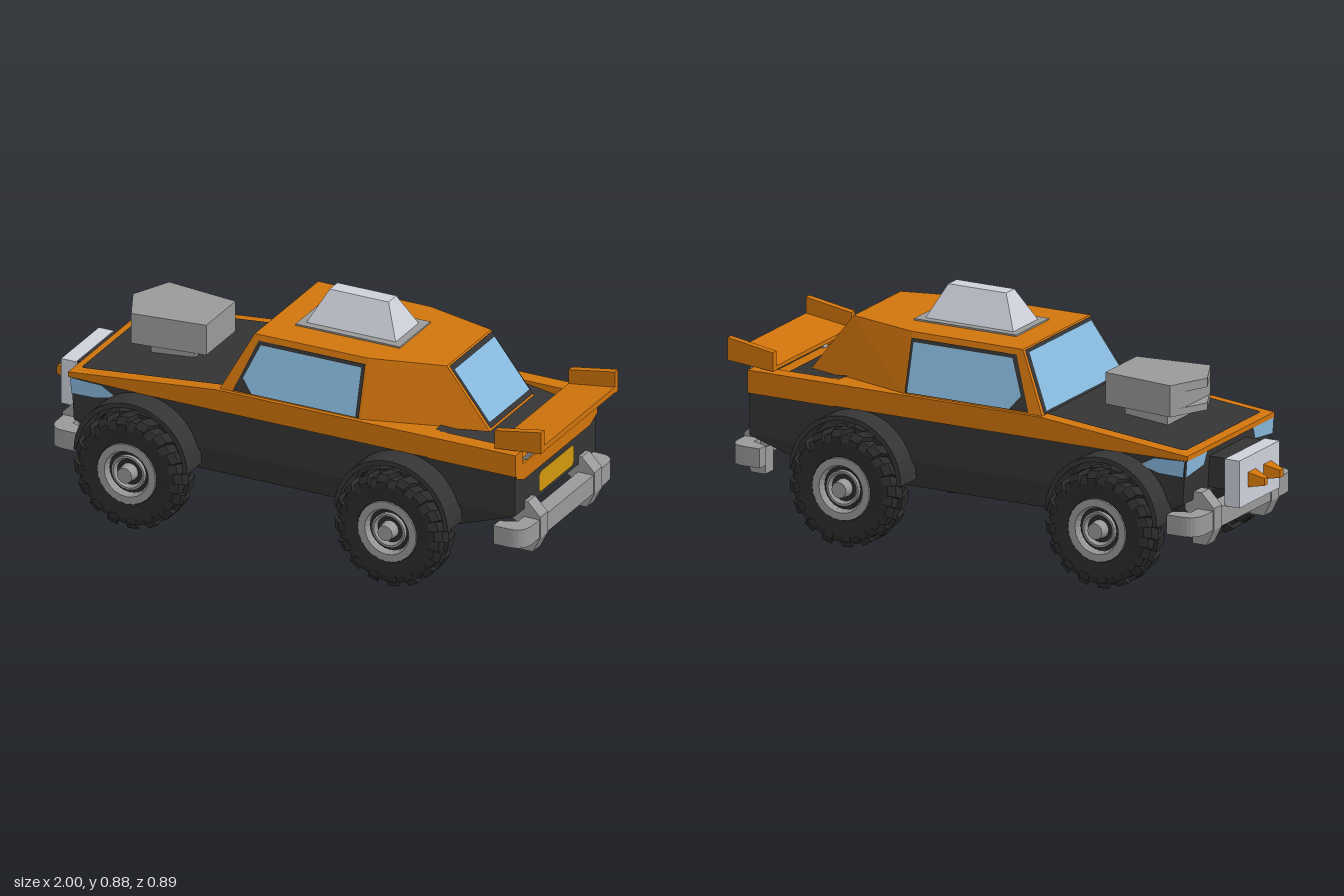
import * as THREE from 'three';
import { ConvexGeometry } from 'three/addons/geometries/ConvexGeometry.js';

const material = (name, color) => {
  const m = new THREE.MeshStandardMaterial({ color });
  m.name = name;
  return m;
};
const V = (x, y, z) => new THREE.Vector3(x, y, z);

export function createModel() {
  const orange = material('orange paint', 0xd0740c);
  const dark = material('dark cladding', 0x343434);
  const rubber = material('tyre rubber', 0x2b2b2b);
  const grey = material('grey metal', 0x999999);
  const silver = material('pale metal', 0xcdd0da);
  const glass = material('blue glass', 0x86b8dc);
  const yellow = material('yellow plate', 0xd0980e);

  const car = new THREE.Group();
  car.name = 'offRoadCar';

  const add = (name, mat, geo, parent = car) => {
    const mesh = new THREE.Mesh(geo, mat);
    mesh.name = name;
    parent.add(mesh);
    return mesh;
  };
  // Convex solid, mirrored across z
  const hull = (name, mat, pts, parent) => add(name, mat,
    new ConvexGeometry(pts.flatMap(([x, y, z]) => [V(x, y, z), V(x, y, -z)])), parent);
  // Side outline (x, y) extruded from z0 to z1
  const prism = (name, mat, pts, z0, z1, parent) => {
    const shape = new THREE.Shape(pts.map(([x, y]) => new THREE.Vector2(x, y)));
    const geo = new THREE.ExtrudeGeometry(shape, { depth: z1 - z0, bevelEnabled: false });
    return add(name, mat, geo.translate(0, 0, z0), parent);
  };
  // Plan outline (x, z) extruded from y0 to y1
  const slab = (name, mat, shape, y0, y1, parent) => {
    const geo = new THREE.ExtrudeGeometry(shape, { depth: y1 - y0, bevelEnabled: false, curveSegments: 6 });
    return add(name, mat, geo.rotateX(-Math.PI / 2).translate(0, y0, 0), parent);
  };
  const box = (name, mat, x0, x1, y0, y1, z0, z1) => add(name, mat,
    new THREE.BoxGeometry(x1 - x0, y1 - y0, z1 - z0)
      .translate((x0 + x1) / 2, (y0 + y1) / 2, (z0 + z1) / 2));
  // Flat convex face lifted slightly off the bodywork, facing outwards
  const panel = (name, mat, pts, lift = 0.004) => {
    let p = pts.map(a => V(...a));
    const n = p[1].clone().sub(p[0]).cross(p[2].clone().sub(p[0])).normalize();
    if (n.dot(p[0].clone().sub(V(0, 0.3, 0))) < 0) { n.negate(); p.reverse(); }
    p = p.map(a => a.addScaledVector(n, lift));
    const tris = [];
    for (let i = 1; i < p.length - 1; i++) tris.push(p[0], p[i], p[i + 1]);
    const geo = new THREE.BufferGeometry().setFromPoints(tris);
    geo.computeVertexNormals();
    return add(name, mat, geo);
  };

  // Lower body and upper belt
  hull('lowerBody', dark, [[-0.82, 0.472, 0.303], [0.905, 0.472, 0.303], [-0.81, 0.31, 0.303],
    [0.905, 0.31, 0.303], [-0.62, 0.203, 0.25], [0.65, 0.203, 0.25]]);
  hull('beltFront', orange, [[-0.83, 0.488, 0.308], [-0.25, 0.545, 0.308], [0.57, 0.545, 0.308],
    [-0.83, 0.47, 0.308], [-0.5, 0.465, 0.308], [0.57, 0.465, 0.308]]);
  hull('rearDeck', orange, [[0.57, 0.545, 0.25], [0.91, 0.49, 0.25], [0.57, 0.46, 0.25], [0.91, 0.46, 0.25]]);
  for (const s of [1, -1])
    box('rearRail', orange, 0.57, 0.91, 0.462, 0.545, Math.min(s * 0.25, s * 0.308), Math.max(s * 0.25, s * 0.308));
  panel('deckPanel', dark, [[0.57, 0.545, 0.25], [0.84, 0.5015, 0.25], [0.84, 0.5015, -0.25], [0.57, 0.545, -0.25]]);
  panel('rearPanel', orange, [[0.908, 0.43, 0.25], [0.908, 0.455, 0.305], [0.908, 0.488, 0.305],
    [0.908, 0.488, -0.305], [0.908, 0.455, -0.305], [0.908, 0.43, -0.25]]);
  const hoodY = x => 0.488 + (x + 0.83) / 0.58 * 0.057;
  panel('hoodPanel', dark, [[-0.8, hoodY(-0.8), 0.26], [-0.79, hoodY(-0.79), 0.27], [-0.25, 0.545, 0.27],
    [-0.25, 0.545, -0.27], [-0.79, hoodY(-0.79), -0.27], [-0.8, hoodY(-0.8), -0.26]]);

  // Cabin with tapering rear pillars
  hull('cabin', orange, [[-0.25, 0.54, 0.296], [0.3, 0.54, 0.292], [0.737, 0.54, 0.166],
    [-0.14, 0.755, 0.238], [0.3, 0.755, 0.235], [0.57, 0.755, 0.166]]);
  // Windscreen and rear window: frame, then glass, between a base and a top edge
  const window = (name, base, top, v0, v1, inset) => {
    const at = (v, s, d) => [0, 1, 2].map(i => (base[i] + (top[i] - base[i]) * v - (i === 2 ? d : 0)) * (i === 2 ? s : 1));
    const quad = (a, b, d) => [at(a, 1, d), at(b, 1, d), at(b, -1, d), at(a, -1, d)];
    panel(name + 'Frame', dark, quad(0.01, 0.98, 0.006), 0.004);
    panel(name + 'Glass', glass, quad(v0, v1, inset), 0.008);
  };
  window('windscreen', [-0.25, 0.545, 0.295], [-0.14, 0.755, 0.238], 0.04, 0.93, 0.022);
  window('rearWindow', [0.735, 0.545, 0.166], [0.57, 0.755, 0.166], 0.08, 0.91, 0.015);
  for (const s of [1, -1]) {
    const onSide = ([x, y]) => [x, y, s * (0.295 - (y - 0.545) * 0.271)];
    panel('sideWindowFrame', dark, [[-0.195, 0.55], [-0.12, 0.735], [0.295, 0.735], [0.295, 0.55]].map(onSide), 0.004);
    panel('sideWindowGlass', glass, [[-0.12, 0.552], [-0.16, 0.6], [-0.108, 0.722], [0.283, 0.722], [0.283, 0.552]].map(onSide), 0.008);
    // Wraparound headlights
    panel('headlightSide', glass, [[-0.822, 0.47], [-0.7, 0.466], [-0.64, 0.432], [-0.72, 0.412], [-0.815, 0.41]].map(([x, y]) => [x, y, s * 0.303]), 0.007);
    panel('headlightFront', glass, [[-0.823, 0.47, s * 0.308], [-0.823, 0.47, s * 0.16], [-0.82, 0.425, s * 0.18], [-0.819, 0.41, s * 0.308]], 0.005);
  }

  // Roof scoop
  box('scoopBase', grey, -0.045, 0.36, 0.75, 0.761, -0.115, 0.115);
  hull('roofScoop', silver, [[-0.018, 0.76, 0.087], [0.33, 0.76, 0.087], [0.043, 0.877, 0.029], [0.272, 0.877, 0.029]]);

  // Engine intake on the hood, slotted at the front
  const plan = pts => new THREE.Shape(pts.map(([x, z]) => new THREE.Vector2(x, z)));
  const intake = plan([[-0.737, 0], [-0.67, -0.143], [-0.395, -0.11], [-0.395, 0.11], [-0.67, 0.143]]);
  slab('intakeBottom', grey, intake, 0.563, 0.588);
  slab('intakeTop', grey, intake, 0.645, 0.677);
  slab('intakeCore', grey, plan([[-0.695, -0.088], [-0.67, -0.143], [-0.395, -0.11], [-0.395, 0.11], [-0.67, 0.143], [-0.695, 0.088]]), 0.585, 0.648);
  box('intakeNeck', grey, -0.625, -0.455, 0.5, 0.57, -0.08, 0.08);

  // Rear spoiler
  prism('spoilerWing', orange, [[0.82, 0.548], [1, 0.565], [1, 0.587], [0.82, 0.562]], -0.285, 0.285);
  for (const s of [1, -1]) {
    prism('spoilerEnd', orange, [[0.82, 0.547], [1, 0.563], [1, 0.645], [0.82, 0.615]], s * 0.277 - 0.013, s * 0.277 + 0.013);
    prism('spoilerStrut', grey, [[0.885, 0.485], [0.915, 0.5], [0.975, 0.565], [0.945, 0.565]], s * 0.215 - 0.014, s * 0.215 + 0.014);
  }

  // Number plate with rounded corners
  const plate = new THREE.Shape();
  const [w, h, r] = [0.132, 0.039, 0.02];
  plate.absarc(w - r, h - r, r, 0, Math.PI / 2);
  plate.absarc(r - w, h - r, r, Math.PI / 2, Math.PI);
  plate.absarc(r - w, r - h, r, Math.PI, Math.PI * 1.5);
  plate.absarc(w - r, r - h, r, Math.PI * 1.5, Math.PI * 2);
  add('numberPlate', yellow, new THREE.ShapeGeometry(plate, 5).rotateY(Math.PI / 2).translate(0.91, 0.368, 0));

  // Wraparound bumpers with upright guards
  const bar = new THREE.Shape();
  bar.moveTo(-0.12, -0.345);
  bar.lineTo(-0.06, -0.345);
  bar.quadraticCurveTo(0, -0.345, 0, -0.28);
  bar.lineTo(0, 0.28);
  bar.quadraticCurveTo(0, 0.345, -0.06, 0.345);
  bar.lineTo(-0.12, 0.345);
  bar.lineTo(-0.12, 0.3);
  bar.lineTo(-0.06, 0.275);
  bar.lineTo(-0.06, -0.275);
  bar.lineTo(-0.12, -0.3);
  for (const [name, x, turn] of [['rearBumper', 0.963, 0], ['frontBumper', -0.888, Math.PI]]) {
    const g = new THREE.Group();
    g.name = name;
    g.position.x = x;
    g.rotation.y = turn;
    car.add(g);
    slab('bumperBar', grey, bar, 0.21, 0.28, g);
    for (const z of [0.203, -0.203])
      prism('bumperGuard', grey, [[-0.08, 0.153], [-0.025, 0.153], [0.004, 0.21], [0.004, 0.29],
        [-0.045, 0.34], [-0.11, 0.34], [-0.11, 0.27], [-0.08, 0.25]], z - 0.028, z + 0.028, g);
  }

  // Nose block with a pair of marker lights
  box('noseBlock', dark, -0.89, -0.79, 0.33, 0.443, -0.13, 0.13);
  box('nosePlate', silver, -0.943, -0.885, 0.275, 0.445, -0.142, 0.142);
  for (const z of [0.055, -0.055])
    add('markerLight', orange, new ConvexGeometry([-1, 1].flatMap(s => [
      V(-0.94, 0.335, z + s * 0.028), V(-0.94, 0.39, z + s * 0.028),
      V(-1, 0.345, z + s * 0.012), V(-1, 0.372, z + s * 0.012)])));

  // Wheel parts, built around the z axis with the outer face at +z
  const lathe = (pts, n) => new THREE.LatheGeometry(pts.map(p => new THREE.Vector2(...p)), n).rotateX(Math.PI / 2).toNonIndexed();
  const faceted = geo => { geo.computeVertexNormals(); return geo; };
  const tyreGeo = faceted(lathe([[0, -0.06], [0.17, -0.06], [0.196, -0.045], [0.196, 0.045], [0.17, 0.06],
    [0.115, 0.057], [0.108, 0.035], [0, 0.035]], 32));
  const ringGeo = (ro, ri, z) => faceted(lathe([[ro, 0.03], [ro, z], [ri + 0.008, z], [ri, z - 0.012], [ri, 0.03]], 24));
  const rimGeo = ringGeo(0.113, 0.078, 0.06);
  const innerGeo = ringGeo(0.064, 0.048, 0.05);
  const hubGeo = new THREE.CylinderGeometry(0.029, 0.034, 0.045, 12).rotateX(Math.PI / 2).translate(0, 0, 0.052);
  const lugGeo = s => {
    const pts = [];
    for (const [rad, z, a] of [[0.185, 0, 0], [0.211, 0, 0], [0.211, 0.045, 0.09], [0.188, 0.062, 0.11], [0.165, 0.062, 0.11]])
      for (const d of [-0.1, 0.1]) pts.push(V(rad * Math.cos(a + d), rad * Math.sin(a + d), s * z));
    return new ConvexGeometry(pts);
  };
  const lugs = [lugGeo(1), lugGeo(-1)];
  const arch = new THREE.Shape();
  arch.absarc(0, 0, 0.221, 0, Math.PI, false);
  arch.absarc(0, 0, 0.203, Math.PI, 0, true);
  const archGeo = new THREE.ExtrudeGeometry(arch, { depth: 0.11, bevelEnabled: false, curveSegments: 12 });

  for (const x of [-0.54, 0.473]) for (const s of [1, -1]) {
    const wheel = new THREE.Group();
    wheel.name = (x < 0 ? 'front' : 'rear') + 'Wheel';
    wheel.position.set(x, 0.211, s * 0.37);
    wheel.rotation.y = s > 0 ? 0 : Math.PI;
    car.add(wheel);
    add('tyre', rubber, tyreGeo, wheel);
    add('rim', grey, rimGeo, wheel);
    add('innerRing', grey, innerGeo, wheel);
    add('hub', grey, hubGeo, wheel);
    for (let i = 0; i < 32; i++)
      add('treadLug', rubber, lugs[i % 2], wheel).rotation.z = i * Math.PI / 16;
    add('wheelArch', dark, archGeo).position.set(x, 0.245, s > 0 ? 0.29 : -0.4);
  }
  return car;
}
